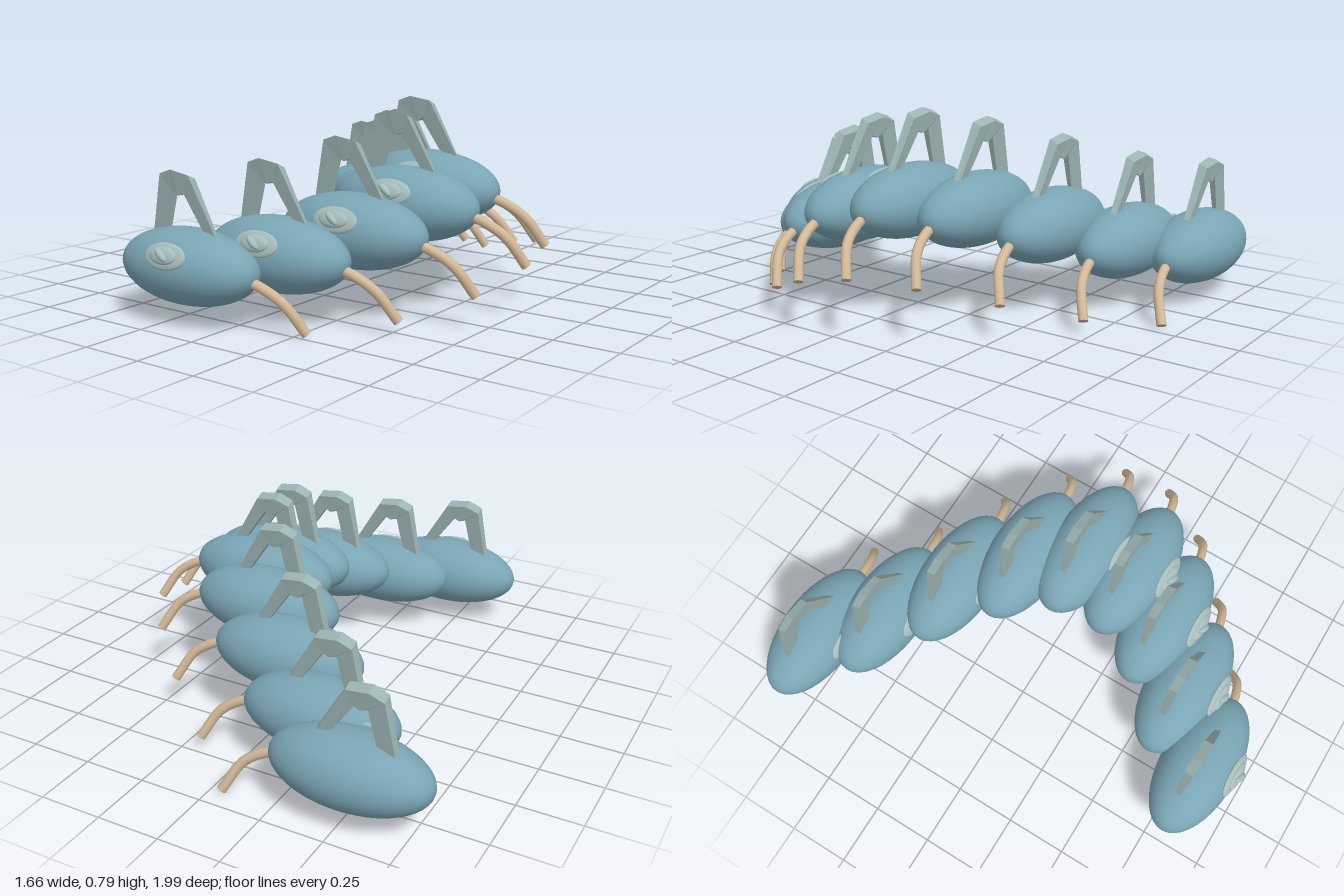
import * as THREE from 'three';

const bodyBlue = new THREE.MeshStandardMaterial({ name: 'bodyBlue', color: 0x7aa5b4 });
const paleGrey = new THREE.MeshStandardMaterial({ name: 'paleGreyGreen', color: 0xa6bfbd });
const finGrey = new THREE.MeshStandardMaterial({ name: 'finGreyGreen', color: 0x9bb3b1, flatShading: true, side: THREE.DoubleSide });
const tan = new THREE.MeshStandardMaterial({ name: 'tan', color: 0xd3b998 });

// Centres of the nine body segments, back to front
const centres = [
  [-0.52, 0.212, -0.84], [-0.295, 0.25, -0.635], [-0.045, 0.335, -0.435],
  [0.17, 0.41, -0.225], [0.31, 0.443, -0.02], [0.34, 0.407, 0.185],
  [0.25, 0.325, 0.39], [0.06, 0.25, 0.6], [-0.183, 0.212, 0.81],
];

function mesh(name, geometry, material) {
  const m = new THREE.Mesh(geometry, material);
  m.name = name;
  return m;
}

// Folded arch: a faceted bar bent through stations [outerX, outerY, innerX, innerY, halfDepth]
function archGeometry() {
  const stations = [
    [-0.185, 0.09, -0.115, 0.1, 0.012],
    [-0.138, 0.32, -0.075, 0.265, 0.018],
    [-0.08, 0.34, -0.045, 0.255, 0.02],
    [0.01, 0.327, -0.02, 0.265, 0.018],
    [0.15, 0.09, 0.105, 0.09, 0.01],
  ];
  const position = [];
  const index = [];
  stations.forEach(([ox, oy, ix, iy, d], i) => {
    position.push(ox, oy + 0.008, d, ox, oy - 0.008, -d, ix, iy, -d * 0.7, ix, iy, d * 0.7);
    if (i === stations.length - 1) return;
    for (let k = 0; k < 4; k++) {
      const a = i * 4 + k, d2 = i * 4 + (k + 1) % 4;
      index.push(a, a + 4, d2 + 4, a, d2 + 4, d2);
    }
  });
  const g = new THREE.BufferGeometry();
  g.setAttribute('position', new THREE.Float32BufferAttribute(position, 3));
  g.setIndex(index);
  const flat = g.toNonIndexed();
  flat.computeVertexNormals();
  return flat;
}

// Curved leg that leaves the +x tip and droops down and back
const legCurve = new THREE.CatmullRomCurve3([
  new THREE.Vector3(0.25, -0.015, 0),
  new THREE.Vector3(0.32, -0.03, -0.008),
  new THREE.Vector3(0.41, -0.085, -0.033),
  new THREE.Vector3(0.475, -0.195, -0.082),
]);
const legGeometry = new THREE.TubeGeometry(legCurve, 16, 0.019, 10);
const legCapGeometry = new THREE.CircleGeometry(0.019, 10);
const bodyGeometry = new THREE.SphereGeometry(1, 40, 28).scale(0.312, 0.142, 0.157);
const lensGeometry = new THREE.SphereGeometry(1, 28, 14);
const finGeometry = archGeometry();

// Stepped oval boss with a slanted slit, lying on the upper front of a segment
function makeEye() {
  const eye = new THREE.Group();
  eye.name = 'eye';
  const layers = [
    ['outerRing', 0.098, 0.05, 0.014, 0],
    ['innerRing', 0.063, 0.033, 0.014, 0.011],
    ['pupil', 0.036, 0.014, 0.016, 0.022],
  ];
  for (const [name, x, y, z, offset] of layers) {
    const layer = mesh(name, lensGeometry, paleGrey);
    layer.scale.set(x, y, z);
    layer.position.z = offset;
    if (name === 'pupil') layer.rotation.z = -0.6;
    eye.add(layer);
  }
  eye.position.set(0.018, 0.065, 0.143);
  eye.rotation.x = -0.42;
  return eye;
}

function makeLeg() {
  const leg = new THREE.Group();
  leg.name = 'leg';
  leg.add(mesh('legTube', legGeometry, tan));
  const cap = mesh('legEnd', legCapGeometry, tan);
  cap.position.copy(legCurve.getPoint(1));
  cap.quaternion.setFromUnitVectors(new THREE.Vector3(0, 0, 1), legCurve.getTangent(1));
  leg.add(cap);
  return leg;
}

export function createModel() {
  const model = new THREE.Group();
  model.name = 'segmentedCrawler';
  for (const centre of centres) {
    const segment = new THREE.Group();
    segment.name = 'segment';
    segment.position.set(...centre);
    const fin = mesh('backArch', finGeometry, finGrey);
    fin.position.z = -0.008;
    fin.rotation.y = -0.04;
    segment.add(mesh('body', bodyGeometry, bodyBlue), fin, makeEye(), makeLeg());
    model.add(segment);
  }
  return model;
}
